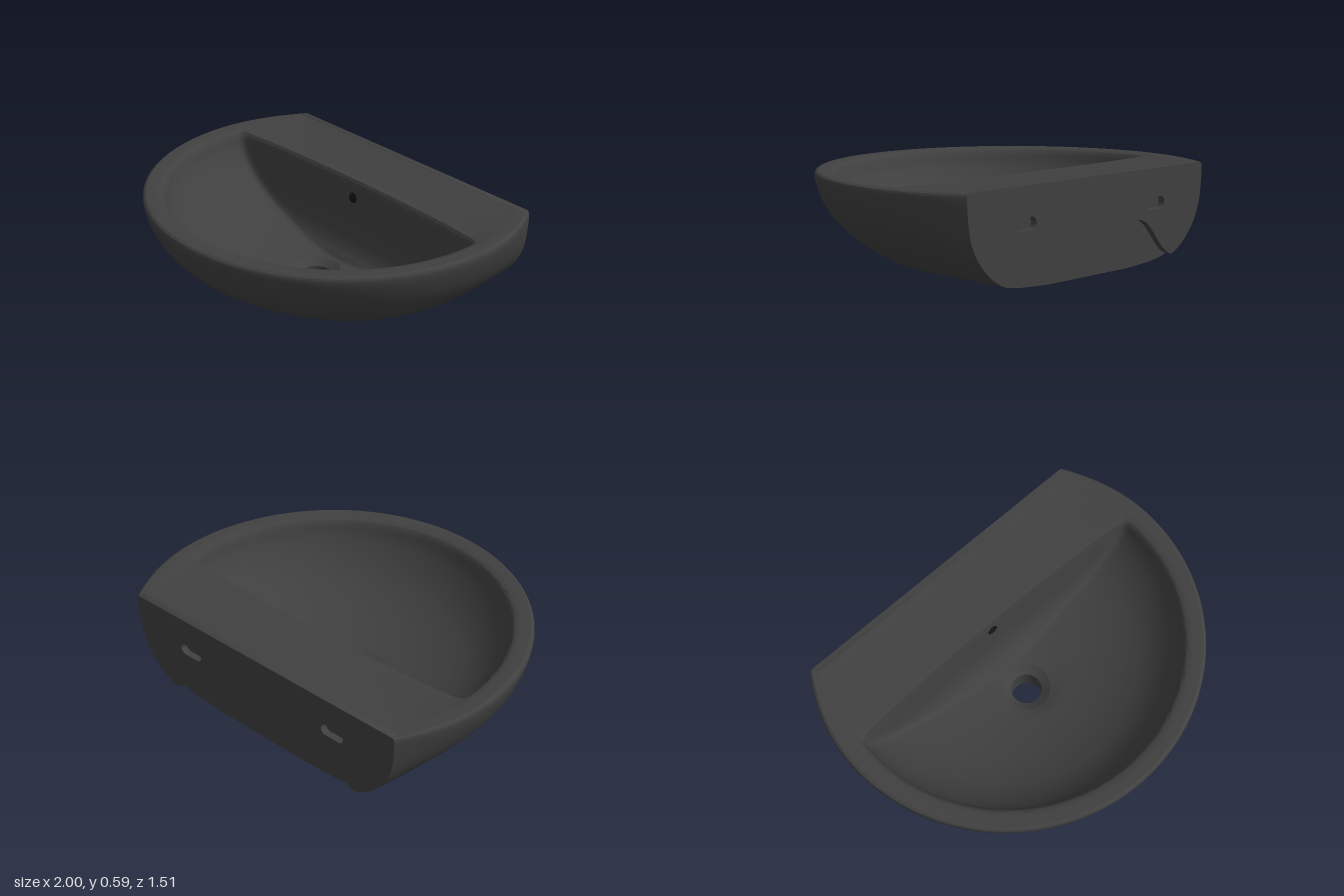
import * as THREE from 'three';
import { toCreasedNormals } from 'three/addons/utils/BufferGeometryUtils.js';

const ZC = -0.245, ZBACK = -0.755, ZRECESS = -0.72, ZDRAIN = -0.095;
const FRONT = 72, SIDE = 28, BACK = 40;
const ARC = FRONT + 2 * SIDE + 1;
const V = (x, y, z) => new THREE.Vector3(x, y, z);

// Horizontal outline: half ellipse in front, tapering sides, straight back
function outline(y, w, f, b, zb) {
  const pts = [];
  const side = (t, s) => V(s * (w - (w - b) * t * t), y, ZC + (zb - ZC) * t);
  for (let i = 0; i < SIDE; i++) pts.push(side(1 - i / SIDE, 1));
  for (let i = 0; i <= FRONT; i++) {
    const a = Math.PI * i / FRONT;
    pts.push(V(w * Math.cos(a), y, ZC + f * Math.sin(a)));
  }
  for (let i = 1; i <= SIDE; i++) pts.push(side(i / SIDE, -1));
  for (let i = 1; i < BACK; i++) pts.push(V(b * (2 * i / BACK - 1), y, zb));
  return pts;
}

// Cast an outline toward the drain centre, at a distance given per direction
function castRow(pts, y, radius) {
  return pts.map(p => {
    const d = Math.hypot(p.x, p.z - ZDRAIN);
    const dx = p.x / d, dz = (p.z - ZDRAIN) / d, r = radius(dx, dz);
    return V(dx * r, y, ZDRAIN + dz * r);
  });
}

// Bowl section: circle of radius w reaching zf in front, cut by a slightly
// bowed back wall at zb, with rounded corners
function bowlRadius(w, zf, zb) {
  const oz = ZDRAIN - (zf - w);
  return (dx, dz) => {
    const circle = -oz * dz + Math.sqrt(w * w - oz * oz * dx * dx);
    if (dz >= -0.02) return circle;
    const x = Math.min(w, Math.abs(dx * (zb - ZDRAIN) / dz));
    const wall = (zb + 0.035 * x * x - ZDRAIN) / dz;
    return Math.pow(Math.pow(circle, -20) + Math.pow(wall, -20), -1 / 20);
  };
}

// Skin a series of outlines
function skin(rows, closed, crease = 0.7) {
  const n = rows[0].length, pos = [], idx = [];
  rows.forEach(r => r.forEach(p => pos.push(p.x, p.y, p.z)));
  for (let i = 0; i < rows.length - 1; i++) {
    for (let j = 0; j < (closed ? n : n - 1); j++) {
      const k = (j + 1) % n;
      const a = i * n + j, b = i * n + k, c = a + n, d = b + n;
      idx.push(a, c, b, b, c, d);
    }
  }
  const g = new THREE.BufferGeometry();
  g.setAttribute('position', new THREE.Float32BufferAttribute(pos, 3));
  g.setIndex(idx);
  return toCreasedNormals(g, crease);
}

export function createModel() {
  const group = new THREE.Group();
  const ceramic = new THREE.MeshStandardMaterial({ color: 0x404040 });
  ceramic.name = 'dark ceramic';
  const hole = new THREE.MeshStandardMaterial({ color: 0x161616 });
  hole.name = 'overflow black';
  const add = (name, geometry, material = ceramic) => {
    const mesh = new THREE.Mesh(geometry, material);
    mesh.name = name;
    group.add(mesh);
    return mesh;
  };

  // Outer wall: half width, height and front depth of each level
  const wall = new THREE.CatmullRomCurve3([
    V(0.605, 0.135, 0.54), V(0.665, 0.16, 0.61), V(0.737, 0.2, 0.695), V(0.865, 0.3, 0.845),
    V(0.945, 0.4, 0.937), V(0.988, 0.5, 0.987), V(1, 0.56, 1.002), V(0.997, 0.578, 0.998),
    V(0.982, 0.587, 0.985),
  ]).getPoints(48);
  const backWidth = p =>
    p.x * (1 - 0.155 * (1 - Math.pow(Math.max(0, (0.57 - p.y) / 0.435), 1.6)));
  const wallRows = wall.map(p => outline(p.y, p.x, p.z, backWidth(p), ZBACK));
  const low = [[0.098, 0.28, 0.27], [0.103, 0.38, 0.35], [0.109, 0.47, 0.41],
    [0.12, 0.55, 0.48], [0.135, 0.605, 0.54]];
  const lowRows = low.map(([y, w, f]) => outline(y, w, f, w, ZRECESS));
  add('outerWall', skin([...lowRows, ...wallRows].map(r => r.slice(0, ARC)), false));

  // Flat underside round the outlet
  add('underside', skin([castRow(lowRows[0], 0.098, () => 0.1), lowRows[0]], true));

  // Rim, back deck and bowl in one smooth skin
  const bowlSize = new THREE.CatmullRomCurve3([
    V(0.895, 0.576, 0.655), V(0.885, 0.56, 0.645), V(0.865, 0.5, 0.62), V(0.815, 0.42, 0.565),
    V(0.73, 0.34, 0.485), V(0.63, 0.28, 0.39), V(0.51, 0.235, 0.29), V(0.38, 0.2, 0.18),
    V(0.25, 0.175, 0.08), V(0.125, 0.155, 0.03)]);
  const bowlBack = new THREE.SplineCurve(
    [-0.37, -0.36, -0.35, -0.342, -0.332, -0.318, -0.3, -0.278, -0.255, -0.24]
      .map((z, i) => new THREE.Vector2(z, i)));
  const deckEdge = outline(0.579, 0.904, 0.909, 0.77, -0.67);
  const bowlRows = [];
  for (let i = 0; i <= 45; i++) {
    const p = bowlSize.getPoint(i / 45), zb = bowlBack.getPoint(i / 45).x;
    bowlRows.push(castRow(deckEdge, p.y, bowlRadius(p.x, p.z, zb)));
  }
  add('rimAndBowl', skin([
    wallRows[wallRows.length - 1],
    outline(0.586, 0.93, 0.935, 0.805, -0.71),
    outline(0.583, 0.912, 0.918, 0.785, -0.69),
    deckEdge,
    ...bowlRows,
  ], true));

  // Back plate with arched cut-out and two mounting slots
  const plate = new THREE.Shape();
  wall.forEach((p, i) => i ? plate.lineTo(backWidth(p), p.y) : plate.moveTo(backWidth(p), p.y));
  [...wall].reverse().forEach(p => plate.lineTo(-backWidth(p), p.y));
  plate.bezierCurveTo(-0.49, 0.17, -0.45, 0.34, -0.33, 0.34);
  plate.lineTo(0.33, 0.34);
  plate.bezierCurveTo(0.45, 0.34, 0.49, 0.17, 0.605, 0.135);
  for (const s of [-1, 1]) {
    const slot = new THREE.Path();
    slot.absarc(s * 0.47 + 0.04, 0.41, 0.03, -Math.PI / 2, Math.PI / 2);
    slot.absarc(s * 0.47 - 0.04, 0.41, 0.03, Math.PI / 2, Math.PI * 1.5);
    slot.closePath();
    plate.holes.push(slot);
  }
  const plateGeometry = new THREE.ExtrudeGeometry(plate,
    { depth: ZRECESS - ZBACK, bevelEnabled: false, curveSegments: 16 });
  add('backPlate', toCreasedNormals(plateGeometry, 0.6)).position.z = ZBACK;

  // Recessed panel behind the cut-out and slots
  const edge = [...low.map(([y, w]) => [w, y]), ...wall.slice(1).map(p => [backWidth(p), p.y])];
  const panel = new THREE.Shape([
    ...edge.map(([x, y]) => new THREE.Vector2(x, y)),
    ...edge.reverse().map(([x, y]) => new THREE.Vector2(-x, y)),
  ]);
  const recess = add('recessedPanel', new THREE.ShapeGeometry(panel));
  recess.rotation.y = Math.PI;
  recess.position.z = ZRECESS;

  // Drain: countersunk seat, through hole and outlet pipe
  const drain = [[0.125, 0.155], [0.118, 0.15], [0.08, 0.125], [0.08, 0], [0.107, 0],
    [0.115, 0.008], [0.115, 0.11]].map(p => new THREE.Vector2(...p));
  add('drainOutlet', toCreasedNormals(new THREE.LatheGeometry(drain, 48), 0.6)).position.z = ZDRAIN;

  // Overflow channel running back from the outlet, wider than it is tall
  const channel = new THREE.CatmullRomCurve3([
    V(0, 0.075, -0.185), V(0, 0.078, -0.24), V(0, 0.097, -0.3), V(0, 0.14, -0.36)]);
  add('overflowChannel', new THREE.TubeGeometry(channel, 20, 0.055, 24)).scale.x = 1.3;

  // Overflow opening high on the bowl's back wall
  const overflow = add('overflowOpening', new THREE.CylinderGeometry(0.028, 0.028, 0.008, 24), hole);
  overflow.position.set(0, 0.48, -0.351);
  overflow.rotation.x = Math.PI / 2 - 0.12;

  return group;
}
